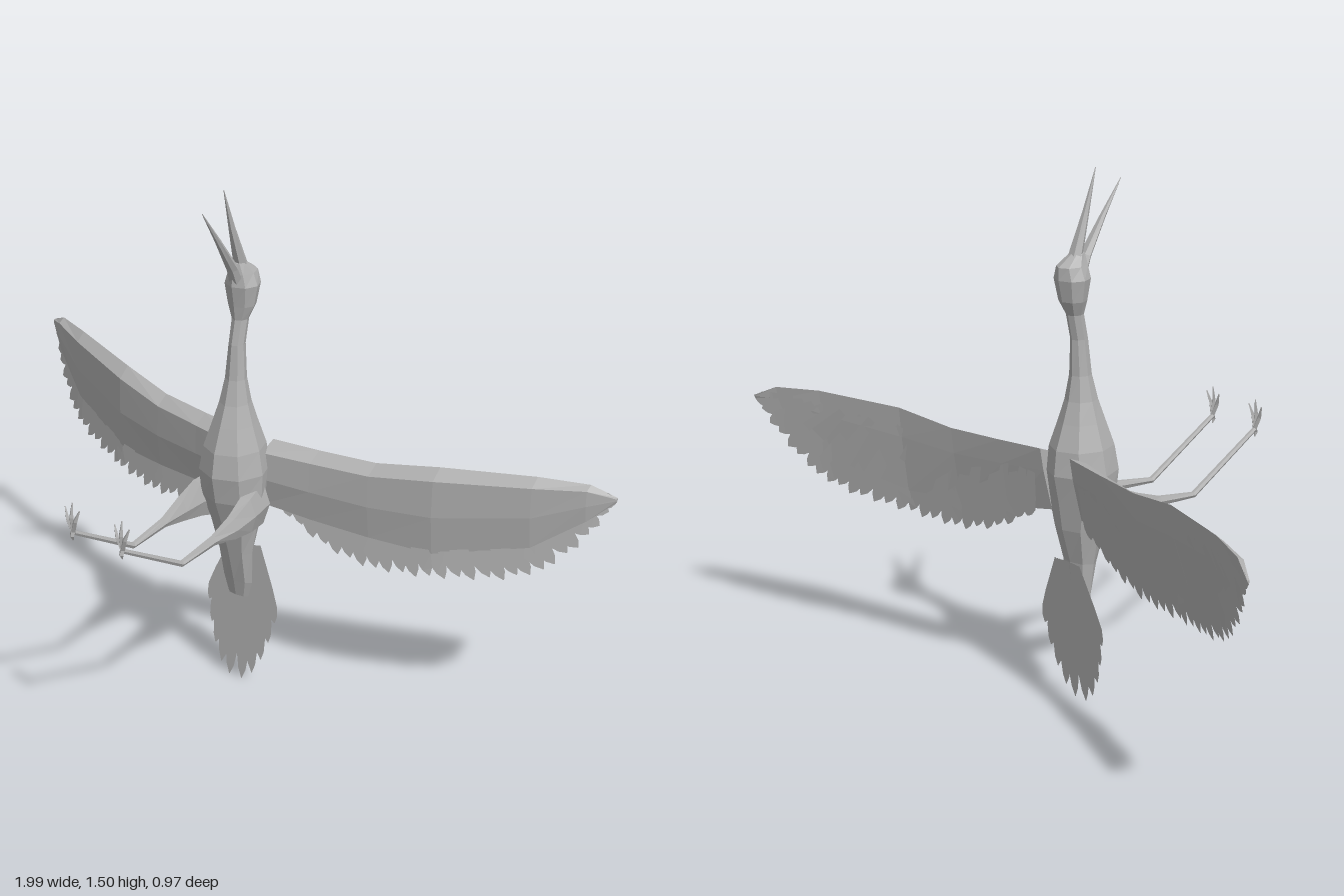
import * as THREE from 'three';

const plumage = new THREE.MeshStandardMaterial({ color: 0xb0b0b0, side: THREE.DoubleSide });
plumage.name = 'grey plumage';

const V = (x, y, z) => new THREE.Vector3(x, y, z);

function mesh(name, tris) {
  const g = new THREE.BufferGeometry().setFromPoints(tris);
  g.computeVertexNormals(); // unshared corners keep every facet flat
  const m = new THREE.Mesh(g, plumage);
  m.name = name;
  return m;
}

// Skin a list of equal-sized rings and close both ends
function loft(name, rings) {
  const t = [], n = rings[0].length;
  for (let i = 0; i < rings.length - 1; i++)
    for (let j = 0; j < n; j++) {
      const k = (j + 1) % n;
      const a = rings[i][j], b = rings[i][k], c = rings[i + 1][k], d = rings[i + 1][j];
      t.push(a, b, c, a, c, d);
    }
  const first = rings[0], last = rings[rings.length - 1];
  for (let j = 1; j < n - 1; j++)
    t.push(first[0], first[j + 1], first[j], last[0], last[j], last[j + 1]);
  return mesh(name, t);
}

// Tapered limb through [x, y, z, half width, half depth] points
function limb(name, pts, sides = 6) {
  const p = pts.map(q => V(q[0], q[1], q[2]));
  const rings = pts.map((q, i) => {
    const d = p[Math.min(i + 1, p.length - 1)].clone().sub(p[Math.max(i - 1, 0)]).normalize();
    const u = V(1, 0, 0).addScaledVector(d, -d.x).normalize();
    const v = d.clone().cross(u);
    return Array.from({ length: sides }, (_, j) => {
      const a = (j / sides) * Math.PI * 2;
      return p[i].clone().addScaledVector(u, q[3] * Math.cos(a)).addScaledVector(v, q[4] * Math.sin(a));
    });
  });
  return loft(name, rings);
}

// Piecewise-linear lookup; rows are sorted by their first number
function sample(rows, x, col) {
  let i = 0;
  while (i < rows.length - 2 && x > rows[i + 1][0]) i++;
  const a = rows[i], b = rows[i + 1];
  return a[col] + (b[col] - a[col]) * (x - a[0]) / (b[0] - a[0]);
}

// Flat leaf-shaped feather laid on the surface z = depth(x, y)
function feather(out, root, tip, halfWidth, depth) {
  const rows = [[0, 0.5], [0.55, 0.95], [0.8, 1], [0.93, 0.6], [1, 0.05]];
  const dx = tip[0] - root[0], dy = tip[1] - root[1], len = Math.hypot(dx, dy);
  const edge = rows.map(([t, w]) => [1, -1].map(s => {
    const x = root[0] + dx * t - s * (dy / len) * w * halfWidth;
    const y = root[1] + dy * t + s * (dx / len) * w * halfWidth;
    return V(x, y, depth(x, y));
  }));
  for (let i = 0; i < edge.length - 1; i++) {
    const [a, b] = edge[i], [d, c] = edge[i + 1];
    out.push(a, b, c, a, c, d);
  }
}

// Wing stations: x, top y, bottom y, leading edge z, thickness
const STATIONS = [
  [0.06, 0.745, 0.56, -0.205, 0.055], [0.2, 0.742, 0.54, -0.23, 0.045],
  [0.37, 0.742, 0.525, -0.262, 0.04], [0.55, 0.768, 0.515, -0.303, 0.036],
  [0.8, 0.78, 0.575, -0.395, 0.03], [0.93, 0.774, 0.67, -0.452, 0.022],
  [0.995, 0.742, 0.73, -0.485, 0.008],
];
// Outline through the wing feather tips: position along it, x, y
const TIPS = [
  [0, 0.13, 0.53], [0.07, 0.2, 0.49], [0.13, 0.26, 0.46], [0.25, 0.38, 0.432],
  [0.37, 0.5, 0.438], [0.49, 0.62, 0.452], [0.61, 0.74, 0.47], [0.73, 0.84, 0.51],
  [0.85, 0.92, 0.595], [0.94, 0.97, 0.675], [1, 0.993, 0.728],
];

function makeWing() {
  const wing = new THREE.Group();
  // Curved front covering
  wing.add(loft('wingCovering', STATIONS.map(([x, top, bottom, z, t]) => {
    const h = top - bottom;
    return [
      V(x, top, z), V(x, top - h * 0.35, z + t * 0.2), V(x, bottom, z + t * 0.75),
      V(x, top - h * 0.55, z + t * 1.05), V(x, top - h * 0.12, z + t),
    ];
  })));
  // Fan of flight feathers behind it
  const tris = [], count = 27;
  for (let i = 0; i < count; i++) {
    const t = i / (count - 1);
    const depth = (x, y) => sample(STATIONS, x, 3) + 0.035 * (0.75 - y) / 0.3 + (i % 3) * 0.001;
    const root = [0.1 + 0.78 * t, 0.67 + 0.07 * t];
    feather(tris, root, [sample(TIPS, t, 1), sample(TIPS, t, 2) + (i % 2) * 0.008], 0.024, depth);
  }
  wing.add(mesh('flightFeathers', tris));
  return wing;
}

function makeLeg() {
  const leg = new THREE.Group();
  leg.add(limb('thighAndShank', [
    [0.06, 0.58, -0.13, 0.04, 0.075], [0.085, 0.578, -0.05, 0.03, 0.06],
    [0.09, 0.567, 0.02, 0.022, 0.038], [0.087, 0.56, 0.1, 0.012, 0.015],
    [0.085, 0.545, 0.235, 0.009, 0.009], [0.085, 0.685, 0.478, 0.007, 0.007],
  ]));
  // Three toes forward and one behind
  for (const [x, y] of [[0.06, 0.755], [0.085, 0.772], [0.11, 0.755], [0.085, 0.662]])
    leg.add(limb('toe', [
      [0.085, 0.688, 0.478, 0.008, 0.007],
      [(x + 0.085) / 2, (y + 0.688) / 2, 0.483, 0.007, 0.006],
      [x, y, 0.478, 0.002, 0.002],
    ], 4));
  return leg;
}

export function createModel() {
  const bird = new THREE.Group();
  bird.name = 'flyingBird';

  // Body, neck and head: y, front z, back z, half width
  const profile = [
    [0.27, -0.115, -0.14, 0.035], [0.32, -0.105, -0.145, 0.05], [0.42, -0.08, -0.152, 0.056],
    [0.52, -0.05, -0.18, 0.075], [0.6, -0.02, -0.192, 0.095], [0.68, -0.005, -0.208, 0.098],
    [0.75, -0.015, -0.2, 0.085], [0.82, -0.04, -0.175, 0.062], [0.88, -0.062, -0.155, 0.044],
    [0.95, -0.08, -0.142, 0.03], [1.05, -0.09, -0.141, 0.022], [1.12, -0.105, -0.155, 0.023],
    [1.16, -0.1, -0.175, 0.04], [1.22, -0.09, -0.188, 0.05], [1.255, -0.092, -0.187, 0.036],
    [1.285, -0.1, -0.142, 0.02],
  ];
  bird.add(loft('bodyNeckAndHead', profile.map(([y, front, back, w]) =>
    Array.from({ length: 8 }, (_, j) => {
      const a = (j / 8) * Math.PI * 2;
      return V(w * Math.sin(a), y, (front + back) / 2 + (front - back) / 2 * Math.cos(a));
    }))));

  // Open beak
  bird.add(limb('upperBeak', [
    [0, 1.21, -0.15, 0.03, 0.025], [0, 1.28, -0.127, 0.022, 0.018],
    [0, 1.39, -0.09, 0.009, 0.01], [0, 1.505, -0.055, 0.001, 0.001]]));
  bird.add(limb('lowerBeak', [
    [0, 1.2, -0.125, 0.028, 0.02], [0, 1.275, -0.092, 0.02, 0.014],
    [0, 1.37, -0.03, 0.009, 0.008], [0, 1.465, 0.036, 0.001, 0.001]]));

  // Tail fan
  const tail = [];
  const tips = [[0.022, 0.002], [0.055, 0.03], [0.082, 0.08], [0.102, 0.14], [0.118, 0.205]];
  tips.forEach(([x, y], i) => {
    for (const s of [1, -1])
      feather(tail, [s * (0.012 + i * 0.007), 0.42], [s * x, y], 0.022,
        (px, py) => -0.115 - 0.095 * py - i * 0.002);
  });
  bird.add(mesh('tailFeathers', tail));

  // Paired wings and legs
  for (const s of [1, -1]) {
    const side = s > 0 ? 'left' : 'right';
    const wing = makeWing(), leg = makeLeg();
    wing.name = side + 'Wing';
    leg.name = side + 'Leg';
    wing.scale.x = leg.scale.x = s;
    bird.add(wing, leg);
  }
  return bird;
}
